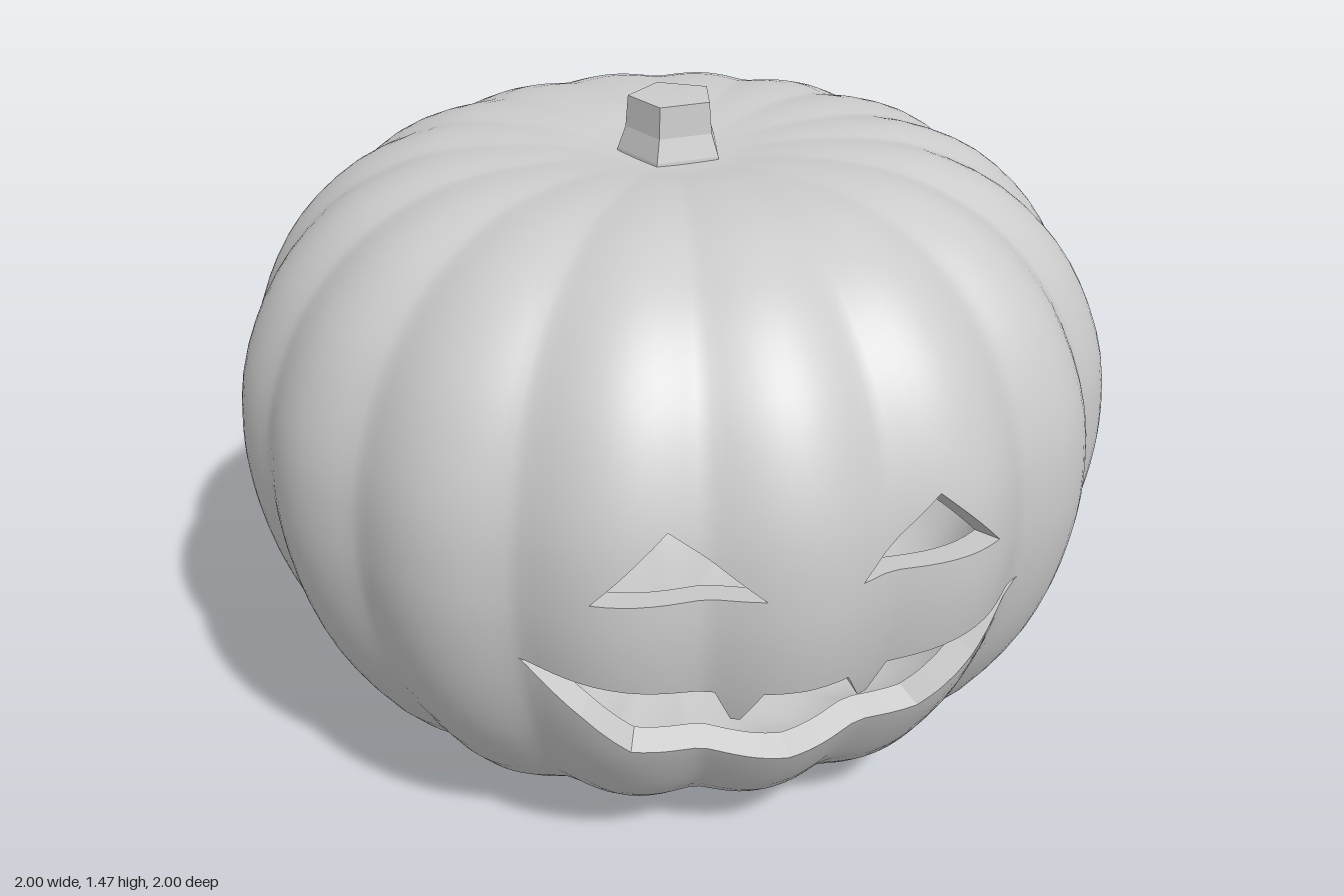
import * as THREE from 'three';

const CENTRE_Y = 0.68, INNER = 0.935;
const V = (x, y) => new THREE.Vector2(x, y);

// Half outline of the body, from the underside to the stem
const profile = new THREE.SplineCurve([
  [0.1, 0.025], [0.22, 0.01], [0.38, 0.003], [0.52, 0.015], [0.65, 0.065], [0.77, 0.155], [0.88, 0.31],
  [0.945, 0.45], [0.985, 0.6], [1.0, 0.75], [0.985, 0.91], [0.93, 1.06], [0.85, 1.18],
  [0.73, 1.285], [0.58, 1.35], [0.44, 1.37], [0.28, 1.367], [0.14, 1.35], [0, 1.345],
].map(([r, y]) => V(r, y)));

// Point on the ribbed skin at angle a (0 = front) and outline position t
function skin(a, t, scale = 1) {
  const p = profile.getPoint(THREE.MathUtils.clamp(t, 0, 1));
  const rib = Math.sqrt(Math.cos(8 * a) ** 2 + 0.04) / Math.sqrt(1.04);
  const depth = 0.038 * (1 + 0.3 * Math.cos(a - 0.8)) * THREE.MathUtils.smoothstep(p.x, 0.08, 0.7);
  const cut = depth * (1 - rib);
  const r = p.x * (1 - cut) * scale;
  const y = CENTRE_Y + (p.y - CENTRE_Y) * (1 - 0.4 * cut) * scale;
  return new THREE.Vector3(r * Math.sin(a), y, r * Math.cos(a));
}

function skinNormal(a, t) {
  const e = 0.004, s = Math.min(Math.max(t, e), 1 - 2 * e);
  const da = skin(a + e, s).sub(skin(a - e, s));
  const dt = skin(a, s + e).sub(skin(a, s - e));
  return da.cross(dt).normalize();
}

// Outline position at a given height on the side of the body
function tAt(y) {
  let lo = 0.15, hi = 0.82;
  for (let i = 0; i < 40; i++) {
    const m = (lo + hi) / 2;
    if (profile.getPoint(m).y < y) lo = m; else hi = m;
  }
  return lo;
}

// Carries a front-facing polyline (x, y) onto the skin as (angle, t)
function onSkin(points) {
  return points.map(([x, y]) => {
    const t = tAt(y);
    let a = 0;
    for (let i = 0; i < 30; i++) {
      const s = skin(a, t);
      a = Math.asin(x / Math.hypot(s.x, s.z));
    }
    return V(a, t);
  });
}

function valueAt(line, a) {
  if (a <= line[0].x) return line[0].y;
  for (let i = 1; i < line.length; i++) {
    const p = line[i - 1], q = line[i];
    if (a <= q.x) return p.y + (q.y - p.y) * (a - p.x) / (q.x - p.x);
  }
  return line[line.length - 1].y;
}

// Lower and upper edges of the carved openings
const mouthLow = onSkin([[-0.53, 0.61], [-0.42, 0.49], [-0.32, 0.385], [0.01, 0.325], [0.3, 0.385], [0.43, 0.485], [0.545, 0.61]]);
const mouthHigh = onSkin([[-0.53, 0.61], [-0.35, 0.578], [-0.165, 0.55], [-0.13, 0.475], [-0.112, 0.475], [-0.075, 0.555],
  [0.105, 0.555], [0.142, 0.477], [0.165, 0.477], [0.2, 0.55], [0.36, 0.578], [0.545, 0.61]]);
const eyesLow = onSkin([[-0.41, 0.787], [0.44, 0.787]]);
const eyesHigh = onSkin([[-0.41, 0.787], [-0.26, 0.935], [-0.08, 0.787], [0.12, 0.787], [0.29, 0.935], [0.44, 0.787]]);
const openings = [[mouthLow, mouthHigh], [eyesLow, eyesHigh]];

// Column angles: even steps plus every corner of the openings
function columnAngles() {
  const list = openings.flat(2).map((p) => p.x);
  for (let i = 0; i < 208; i++) {
    const a = -Math.PI + (i / 208) * Math.PI * 2;
    if (!list.some((b) => Math.abs(a - b) < 0.004)) list.push(a);
  }
  list.sort((p, q) => p - q);
  const out = list.filter((a, i) => i === 0 || a - list[i - 1] > 1e-5);
  out.push(Math.PI);
  return out;
}

// One layer of skin, made of three bands that leave the openings free
function layer(angles, inside) {
  const pos = [], nor = [], index = [];
  const bands = [
    [() => 0, (a) => valueAt(mouthLow, a), 20],
    [(a) => valueAt(mouthHigh, a), (a) => valueAt(eyesLow, a), 5],
    [(a) => valueAt(eyesHigh, a), () => 1, 24],
  ];
  for (const [from, to, rows] of bands) {
    const start = pos.length / 3, w = rows + 1;
    angles.forEach((a, i) => {
      for (let j = 0; j <= rows; j++) {
        const t = THREE.MathUtils.lerp(from(a), to(a), j / rows);
        pos.push(...skin(a, t, inside ? INNER : 1).toArray());
        nor.push(...skinNormal(a, t).multiplyScalar(inside ? -1 : 1).toArray());
        if (i === 0 || j === 0) continue;
        const d = start + i * w + j, c = d - 1, b = d - w, e = b - 1;
        if (inside) index.push(e, d, c, e, b, d);
        else index.push(e, c, d, e, d, b);
      }
    });
  }
  const g = new THREE.BufferGeometry();
  g.setAttribute('position', new THREE.Float32BufferAttribute(pos, 3));
  g.setAttribute('normal', new THREE.Float32BufferAttribute(nor, 3));
  g.setIndex(index);
  return g;
}

// Cut faces joining the outer and inner skin around one opening
function cutWalls(angles, [low, high]) {
  const pos = [];
  const quad = (...p) => [0, 1, 2, 0, 2, 3].forEach((k) => pos.push(...p[k].toArray()));
  for (let i = 1; i < angles.length; i++) {
    const a = angles[i - 1], b = angles[i];
    const la = valueAt(low, a), lb = valueAt(low, b), ha = valueAt(high, a), hb = valueAt(high, b);
    if (Math.max(ha - la, hb - lb) < 1e-5) continue;
    quad(skin(a, la), skin(b, lb), skin(b, lb, INNER), skin(a, la, INNER));
    quad(skin(b, hb), skin(a, ha), skin(a, ha, INNER), skin(b, hb, INNER));
  }
  const g = new THREE.BufferGeometry();
  g.setAttribute('position', new THREE.Float32BufferAttribute(pos, 3));
  g.computeVertexNormals();
  return g;
}

export function createModel() {
  const group = new THREE.Group();
  const smooth = new THREE.MeshStandardMaterial({ color: 0xcccccc });
  const flat = new THREE.MeshStandardMaterial({ color: 0xcccccc, flatShading: true });
  const add = (name, geometry, material) => {
    const mesh = new THREE.Mesh(geometry, material);
    mesh.name = name;
    group.add(mesh);
    return mesh;
  };

  const angles = columnAngles();
  add('outerSkin', layer(angles, false), smooth);
  add('innerSkin', layer(angles, true), smooth);
  add('mouthCut', cutWalls(angles, openings[0]), flat);
  add('eyeCuts', cutWalls(angles, openings[1]), flat);

  // Small flat disc closing the underside
  const base = add('base', new THREE.CylinderGeometry(0.102, 0.102, 0.03, 32), flat);
  base.position.y = 0.04;

  // Five-sided stem, flared at its foot
  const stem = add('stem', new THREE.LatheGeometry(
    [V(0.125, 1.335), V(0.122, 1.355), V(0.104, 1.405), V(0.098, 1.475), V(0, 1.477)], 5), flat);
  stem.rotation.y = Math.PI + 0.09;
  return group;
}
